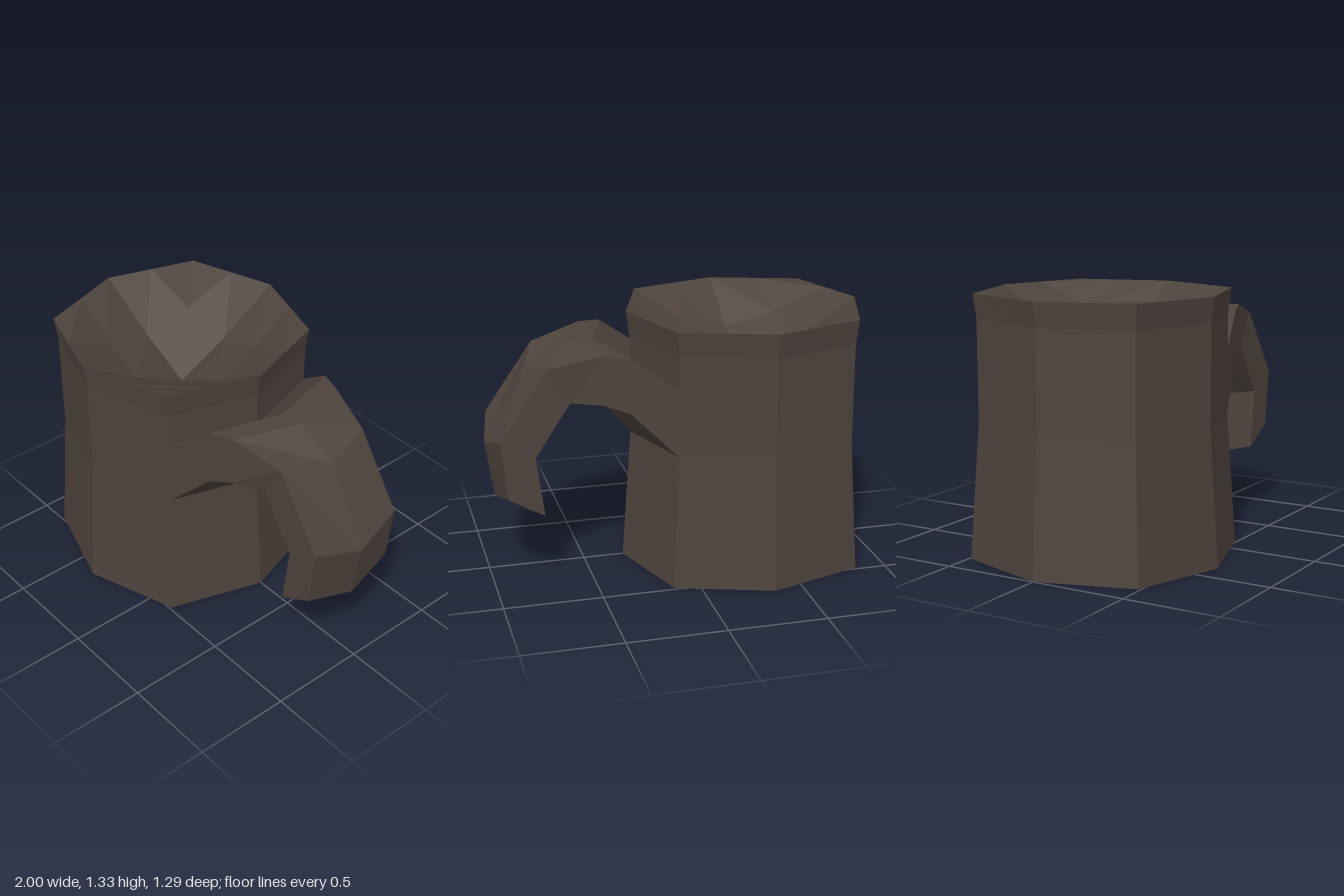
import * as THREE from 'three';

// Collects quads and triangles into a faceted geometry
function facets() {
  const pos = [];
  const tri = (a, b, c) => pos.push(...a, ...b, ...c);
  return {
    tri,
    quad(a, b, c, d) { tri(a, b, c); tri(a, c, d); },
    build() {
      const g = new THREE.BufferGeometry();
      g.setAttribute('position', new THREE.Float32BufferAttribute(pos, 3));
      g.computeVertexNormals();
      return g;
    },
  };
}

const CX = -0.355; // centre of the cup along x

// Octagon with separate radii for the axis and the diagonal corners
function octagon(y, axis, diag) {
  return Array.from({ length: 8 }, (_, k) => {
    const a = (k * Math.PI) / 4;
    const r = k % 2 ? diag * Math.SQRT2 : axis;
    return [CX + Math.cos(a) * r, y, Math.sin(a) * r];
  });
}

// Outer wall and base
function wallGeometry() {
  const f = facets();
  const rings = [
    octagon(0, 0.645, 0.487),
    octagon(0.685, 0.596, 0.451),
    octagon(1.2, 0.596, 0.451),
    octagon(1.325, 0.613, 0.463),
  ];
  for (let r = 0; r < rings.length - 1; r++) {
    for (let k = 0; k < 8; k++) {
      const n = (k + 1) % 8;
      f.quad(rings[r][k], rings[r + 1][k], rings[r + 1][n], rings[r][n]);
    }
  }
  for (let k = 0; k < 8; k++) f.tri([CX, 0, 0], rings[0][k], rings[0][(k + 1) % 8]);
  return f.build();
}

// Sunken top: a 4 x 4 grid of faces inside the octagonal rim
function bowlGeometry() {
  const f = facets();
  const point = (i, j) => {
    const ai = Math.abs(i), aj = Math.abs(j);
    const big = Math.max(ai, aj), small = Math.min(ai, aj);
    let main, side, y;
    if (big === 2) {
      main = [0.613, 0.538, 0.463][small];
      side = [0, 0.2315, 0.463][small];
      y = 1.325;
    } else if (big === 1) {
      main = small ? 0.265 : 0.295;
      side = small ? 0.265 : 0;
      y = small ? 1.2 : 1.125;
    } else {
      main = side = 0;
      y = 0.98;
    }
    const x = ai >= aj ? main : side, z = ai >= aj ? side : main;
    return [CX + Math.sign(i) * x, y, Math.sign(j) * z];
  };
  for (let i = -2; i < 2; i++) {
    for (let j = -2; j < 2; j++) {
      f.quad(point(i, j), point(i, j + 1), point(i + 1, j + 1), point(i + 1, j));
    }
  }
  return f.build();
}

// Hooked handle: chevron cross-sections with a ridge along the middle
function handleGeometry() {
  const f = facets();
  // half width, top edge, top ridge, bottom edge, bottom ridge (x, y pairs)
  const sections = [
    [0.451, [0.096, 1.025], [0.241, 1.025], [0.096, 0.685], [0.241, 0.685]],
    [0.38, [0.32, 1.19], [0.43, 1.195], [0.32, 0.905], [0.44, 0.91]],
    [0.335, [0.44, 1.2], [0.55, 1.2], [0.44, 0.945], [0.53, 0.945]],
    [0.265, [0.705, 1.13], [0.78, 1.09], [0.6, 0.95], [0.625, 0.92]],
    [0.265, [0.955, 0.77], [1, 0.695], [0.78, 0.68], [0.83, 0.63]],
    [0.265, [0.92, 0.47], [0.955, 0.4], [0.74, 0.37], [0.785, 0.3]],
  ].map(([w, te, tr, be, br]) => [
    [...te, w], [...tr, 0], [...te, -w], [...be, -w], [...br, 0], [...be, w],
  ]);
  for (let s = 0; s < sections.length - 1; s++) {
    const a = sections[s], b = sections[s + 1];
    for (let k = 0; k < 6; k++) {
      const n = (k + 1) % 6;
      f.quad(a[k], b[k], b[n], a[n]);
    }
  }
  // Free end
  const e = sections[sections.length - 1];
  f.quad(e[5], e[4], e[1], e[0]);
  f.quad(e[4], e[3], e[2], e[1]);
  return f.build();
}

export function createModel() {
  const brown = new THREE.MeshStandardMaterial({ color: 0x4e433d });
  brown.name = 'dark brown';
  const group = new THREE.Group();
  group.name = 'mug';
  const add = (name, geometry) => {
    const mesh = new THREE.Mesh(geometry, brown);
    mesh.name = name;
    group.add(mesh);
  };
  add('cupWall', wallGeometry());
  add('cupHollow', bowlGeometry());
  add('handle', handleGeometry());
  return group;
}
